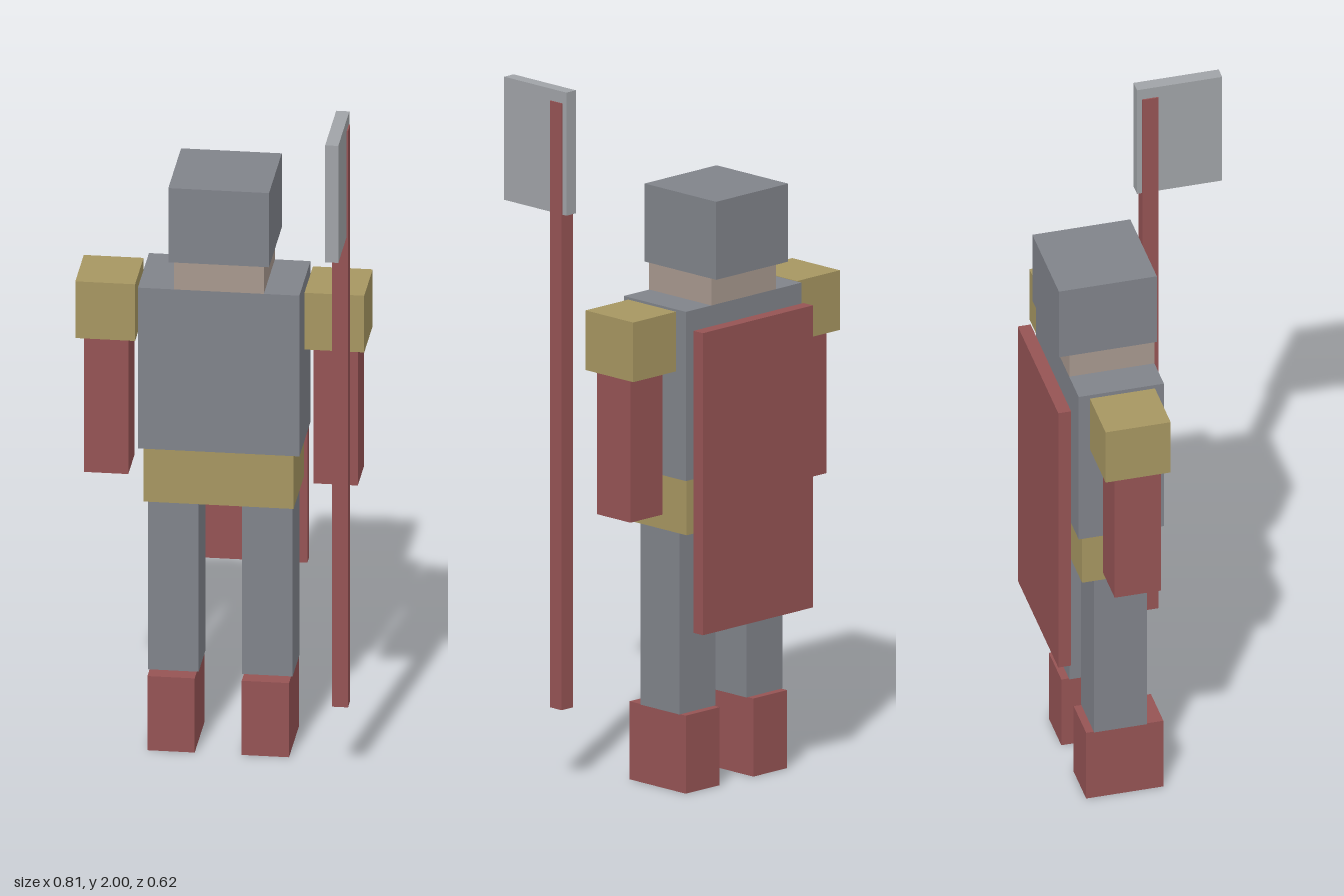
import * as THREE from 'three';

const material = (color) => new THREE.MeshStandardMaterial({ color });

export function createModel() {
  const model = new THREE.Group();
  const steel = material(0x80838a);
  const blade = material(0xa0a3a7);
  const brass = material(0xa69661);
  const red = material(0x955354);
  const skin = material(0xa7988e);

  // Adds a box spanning the given [min, max] ranges
  const box = (name, mat, x, y, z) => {
    const size = [x, y, z].map(([a, b]) => b - a);
    const mesh = new THREE.Mesh(new THREE.BoxGeometry(...size), mat);
    mesh.position.set(...[x, y, z].map(([a, b]) => (a + b) / 2));
    mesh.name = name;
    model.add(mesh);
  };

  // Head and body
  box('helmet', steel, [-0.142, 0.141], [1.483, 1.708], [-0.291, -0.008]);
  box('head', skin, [-0.127, 0.126], [1.4, 1.6], [-0.257, -0.011]);
  box('torso', steel, [-0.228, 0.226], [0.912, 1.4], [-0.257, -0.011]);
  box('belt', brass, [-0.212, 0.209], [0.75, 0.912], [-0.243, -0.015]);
  box('cape', red, [-0.217, 0.215], [0.476, 1.347], [-0.313, -0.276]);

  // Limbs, mirrored about the body centre
  const centre = -0.0015;
  for (const side of [-1, 1]) {
    const label = side > 0 ? 'left' : 'right';
    const limb = (name, mat, inner, outer, y, z) => {
      const x = [centre + side * inner, centre + side * outer].sort((a, b) => a - b);
      box(label + name, mat, x, y, z);
    };
    limb('Pauldron', brass, 0.238, 0.406, [1.225, 1.397], [-0.228, -0.04]);
    limb('Arm', red, 0.26, 0.385, [0.81, 1.225], [-0.196, -0.063]);
    limb('Leg', steel, 0.061, 0.203, [0.225, 0.75], [-0.206, -0.053]);
    limb('Boot', red, 0.066, 0.199, [0, 0.225], [-0.228, -0.005]);
  }

  // Axe held out in front on the left
  box('axeShaft', red, [0.335, 0.38], [0.217, 1.966], [0.08, 0.126]);
  box('axeBlade', blade, [0.339, 0.376], [1.645, 2], [0.065, 0.311]);

  return model;
}
